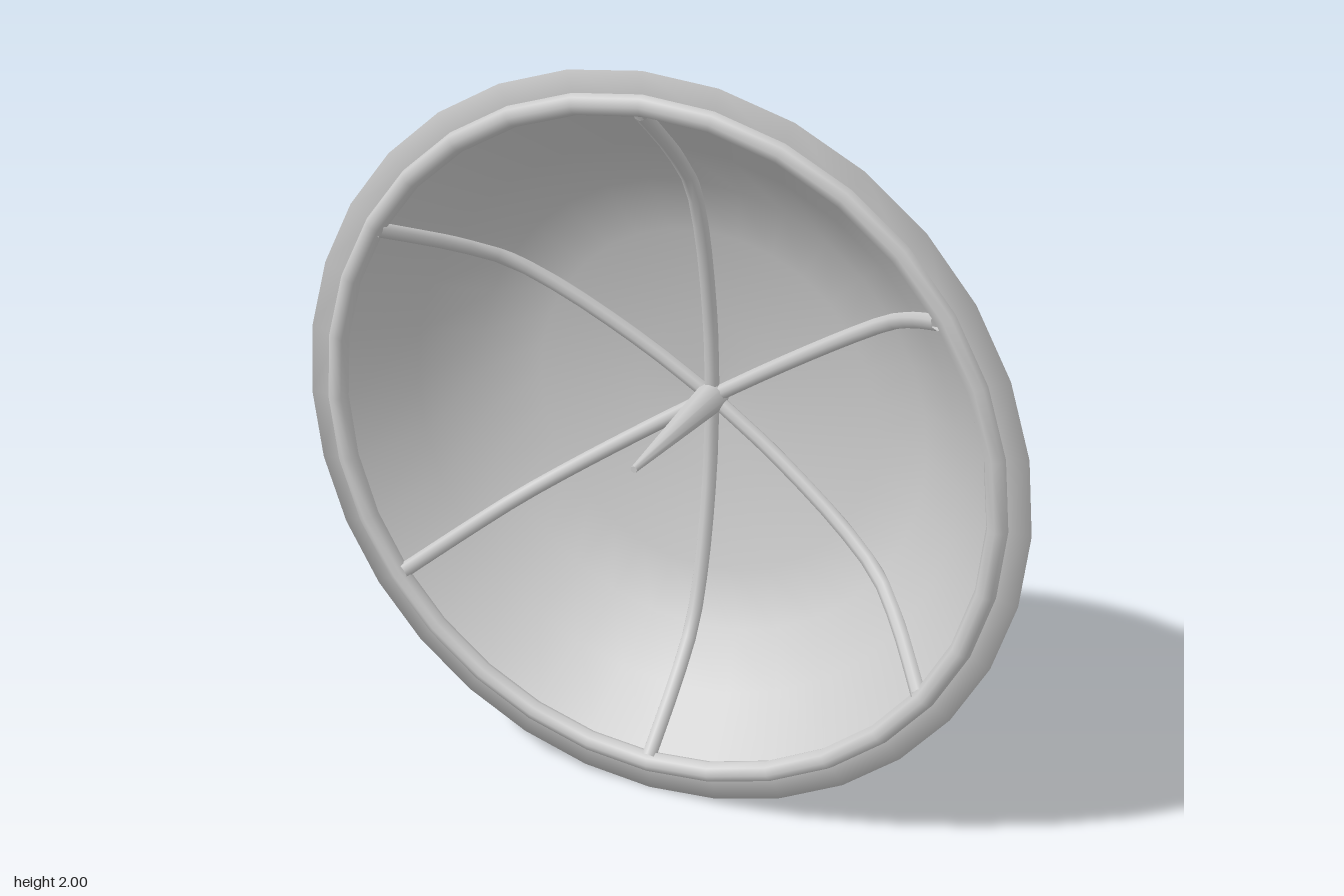
import * as THREE from 'three';

export function createModel() {
  const model = new THREE.Group();
  const material = new THREE.MeshStandardMaterial({ color: 0xcccccc, side: THREE.DoubleSide });
  const add = (name, geometry) => {
    const mesh = new THREE.Mesh(geometry, material);
    mesh.name = name;
    model.add(mesh);
    return mesh;
  };

  // Profiles as [radius, z], from the centre outwards
  const outer = [[0, -0.26], [0.24, -0.24], [0.54, -0.14], [0.715, -0.045], [0.855, 0.09], [1, 0.28]];
  const inner = [[0, -0.145], [0.22, -0.13], [0.49, -0.075], [0.645, -0.01], [0.77, 0.11], [0.9, 0.27]];

  // Dish shell: outer skin, flat lip, inner skin
  const profile = [...outer, [0.92, 0.28], ...inner.slice().reverse()];
  const dish = new THREE.LatheGeometry(profile.map(([r, z]) => new THREE.Vector2(r, z)), 32);
  add('dish', dish.rotateX(Math.PI / 2));

  // Rounded ring on the lip
  add('rimRing', new THREE.TorusGeometry(0.917, 0.028, 8, 32).translate(0, 0, 0.277));

  // Six ribs following the inner skin
  const ribs = new THREE.Group();
  ribs.name = 'ribs';
  model.add(ribs);
  const ribCurve = new THREE.CatmullRomCurve3(
    inner.map(([r, z]) => new THREE.Vector3(r, 0, z + 0.012)));
  const ribGeometry = new THREE.TubeGeometry(ribCurve, 12, 0.021, 8);
  for (const degrees of [33.75, 90, 146.25, 213.75, 270, 326.25]) {
    const rib = new THREE.Mesh(ribGeometry, material);
    rib.name = 'rib';
    rib.rotation.z = THREE.MathUtils.degToRad(degrees);
    ribs.add(rib);
  }

  // Tapered spike at the centre of the dish
  const spike = new THREE.CylinderGeometry(0.009, 0.045, 0.5, 8);
  add('centreSpike', spike.rotateX(Math.PI / 2).translate(0, 0, 0.1));

  // Open mounting tube on the back
  const tube = new THREE.CylinderGeometry(0.04, 0.04, 0.11, 12, 1, true);
  add('mountTube', tube.rotateX(Math.PI / 2).translate(0, 0, -0.295));

  model.children.forEach((part) => { part.position.y = 1; });
  return model;
}
